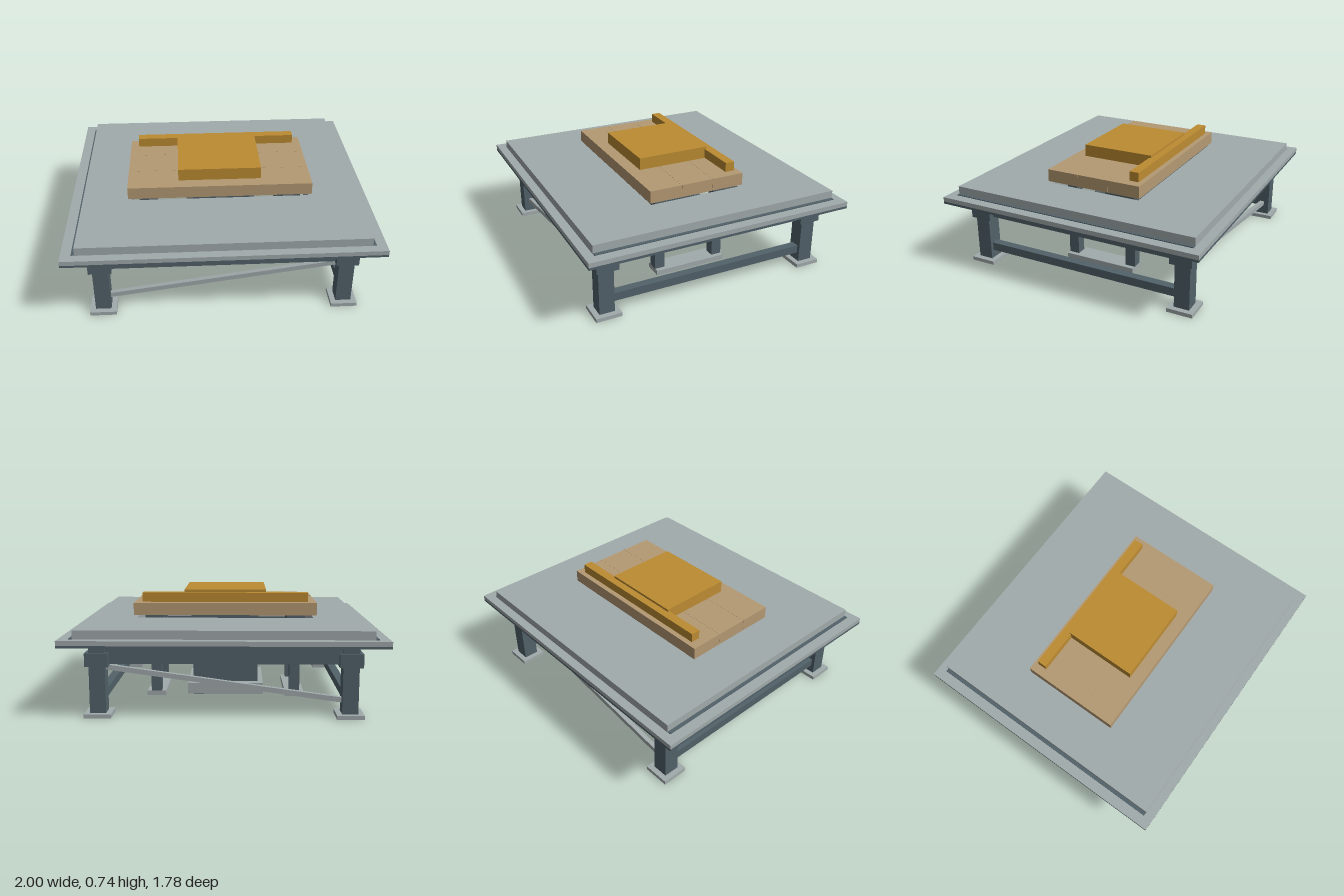
import * as THREE from 'three';

const mat = (name, color) => Object.assign(new THREE.MeshStandardMaterial({ color }), { name });

export function createModel() {
  const steel = mat('dark steel', 0x52626a);
  const grey = mat('light grey', 0xa2abac);
  const wood = mat('wood', 0xb59a73);
  const ochre = mat('ochre', 0xbd8c32);
  const root = new THREE.Group();
  root.name = 'workTable';

  // Box given by its minimum and maximum on each axis
  const box = (name, m, x0, x1, y0, y1, z0, z1) => {
    const mesh = new THREE.Mesh(new THREE.BoxGeometry(x1 - x0, y1 - y0, z1 - z0), m);
    mesh.position.set((x0 + x1) / 2, (y0 + y1) / 2, (z0 + z1) / 2);
    mesh.name = name;
    root.add(mesh);
    return mesh;
  };
  // Box centred on x and z
  const block = (name, m, x, z, w, d, y0, y1) =>
    box(name, m, x - w / 2, x + w / 2, y0, y1, z - d / 2, z + d / 2);
  // Square bar between two points
  const bar = (name, m, a, b, w, h) => {
    const p = new THREE.Vector3(...a), q = new THREE.Vector3(...b);
    const mesh = new THREE.Mesh(new THREE.BoxGeometry(w, h, p.distanceTo(q)), m);
    mesh.position.copy(p).lerp(q, 0.5);
    mesh.lookAt(q);
    mesh.name = name;
    root.add(mesh);
  };
  // Flat slab with the central opening
  const slab = (name, m, hx, hz, y0, y1) => {
    const rect = (C, x, z) => {
      const s = new C();
      s.moveTo(-x, -z).lineTo(x, -z).lineTo(x, z).lineTo(-x, z).closePath();
      return s;
    };
    const shape = rect(THREE.Shape, hx, hz);
    shape.holes.push(rect(THREE.Path, 0.59, 0.315));
    const geo = new THREE.ExtrudeGeometry(shape, { depth: y1 - y0, bevelEnabled: false });
    geo.rotateX(-Math.PI / 2).translate(0, y0, 0);
    const mesh = new THREE.Mesh(geo, m);
    mesh.name = name;
    root.add(mesh);
  };

  // Table top
  slab('topUnderlay', steel, 1, 0.89, 0.455, 0.47);
  slab('topPlate', grey, 1, 0.89, 0.47, 0.5);
  slab('raisedPlate', grey, 0.912, 0.832, 0.5, 0.555);

  for (const s of [-1, 1]) {
    block('edgeSeam', steel, s * 0.923, 0, 0.022, 1.66, 0.498, 0.505);
    block('longApron', steel, 0, s * 0.725, 1.64, 0.07, 0.335, 0.455);
    block('sideApron', steel, s * 0.78, 0, 0.07, 1.55, 0.335, 0.455);
    block('sideStretcher', steel, s * 0.78, 0, 0.055, 1.38, 0.08, 0.135);
    bar('diagonalBrace', grey, [-0.74, 0.105, s * 0.725], [0.74, 0.312, s * 0.725], 0.03, 0.032);

    // Outer legs
    for (const t of [-1, 1]) {
      block('outerFoot', grey, s * 0.78, t * 0.725, 0.17, 0.17, 0, 0.025);
      block('outerLeg', steel, s * 0.78, t * 0.725, 0.1, 0.1, 0.025, 0.455);
      block('legCollar', steel, s * 0.78, t * 0.72, 0.145, 0.145, 0.32, 0.405);
    }

    // Inner frames
    block('innerFoot', grey, s * 0.475, 0, 0.13, 0.5, 0, 0.033);
    for (const t of [-1, 1])
      block('innerLeg', steel, s * 0.475, t * 0.215, 0.07, 0.07, 0.033, 0.555);
    block('innerBearer', steel, s * 0.475, 0, 0.12, 0.62, 0.545, 0.575);
    block('innerCrossbeam', steel, 0, s * 0.215, 0.9, 0.05, 0.31, 0.36);
    bar('innerBrace', grey, [s * 0.465, 0.34, 0.19], [s * 0.465, 0.14, -0.14], 0.02, 0.022);
    bar('innerBrace', grey, [s * 0.465, 0.34, 0.04], [s * 0.465, 0.14, -0.14], 0.02, 0.022);
  }

  // Central pedestal
  block('pedestalSole', steel, 0, 0, 0.44, 0.42, 0, 0.014);
  block('pedestalBase', grey, 0, 0, 0.52, 0.5, 0.012, 0.09);
  box('pedestalColumn', steel, -0.222, 0.222, 0.09, 0.56, -0.19, 0.13);
  box('pedestalFront', steel, -0.17, 0.17, 0.09, 0.31, 0.13, 0.19);
  block('pedestalBearer', steel, 0, 0, 0.45, 0.62, 0.55, 0.575);
  box('frontHandle', grey, -0.03, 0.03, 0.245, 0.252, 0.19, 0.196);
  for (let i = 0; i < 6; i++) {
    const y = 0.165 + i * 0.026;
    box('ventFin', steel, 0.222, 0.23, y, y + 0.009, -0.12, 0);
  }

  // Planks, cushion block and rear rail
  for (let i = -1; i <= 1; i++)
    block('plank', wood, 0, i * 0.2215, 1.22, 0.2205, 0.575, 0.657);
  box('padBlock', ochre, -0.275, 0.275, 0.657, 0.738, -0.25, 0.247);
  box('rearRail', ochre, -0.553, 0.553, 0.66, 0.722, -0.3, -0.237);

  return root;
}
